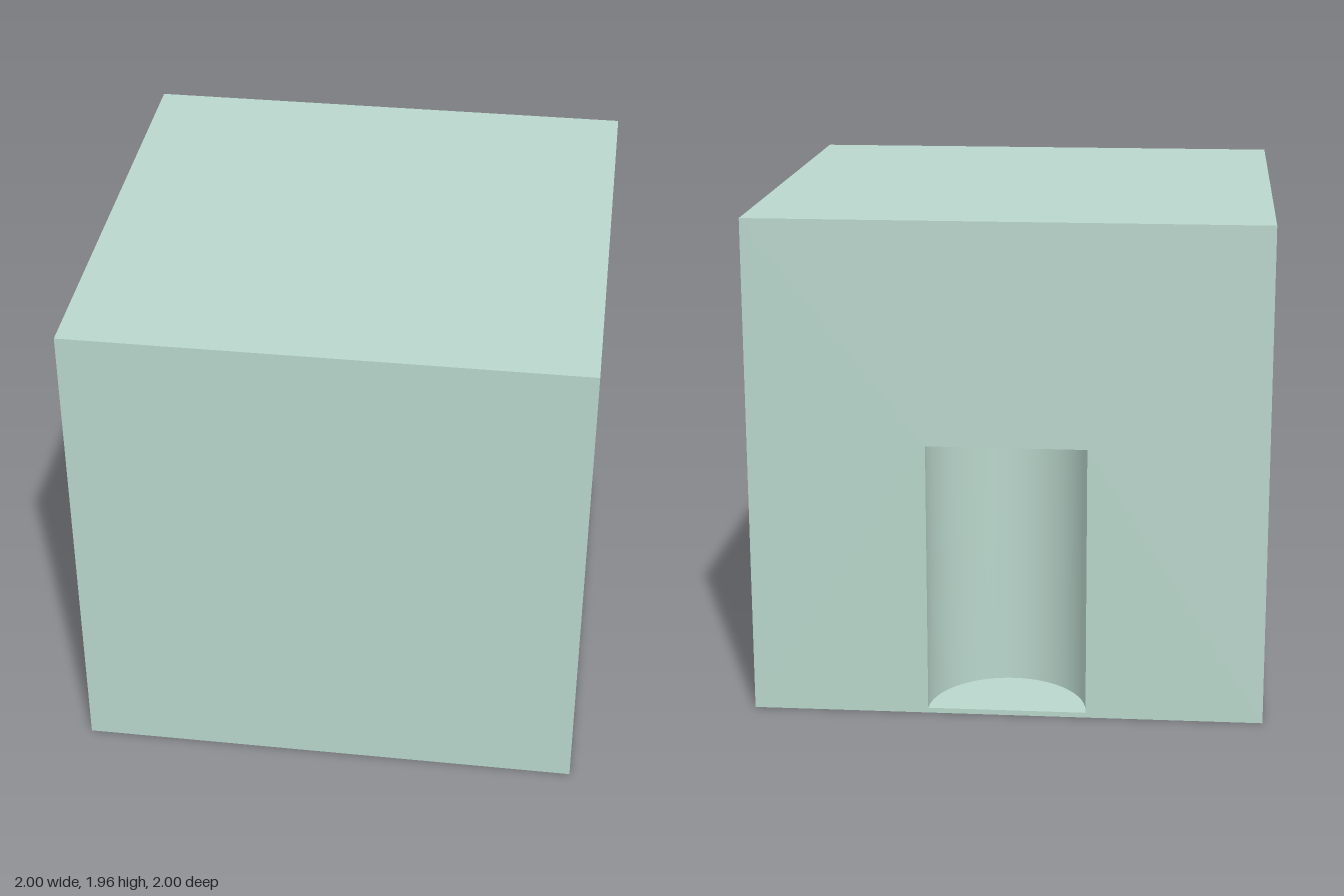
import * as THREE from 'three';

const H = 1.96;
const NICHE = { rx: 0.31, rz: 0.34, y0: 0.02, y1: 1.09 };
const PANEL = { a: 0.6, b: 0.905, y0: 0.05, y1: 1.07, depth: 0.02 };

const material = new THREE.MeshStandardMaterial({ color: 0xb9d6cb });
const thin = material.clone();
thin.side = THREE.DoubleSide;

function rect(Kind, x0, y0, x1, y1) {
  return new Kind([[x0, y0], [x1, y0], [x1, y1], [x0, y1]].map(([x, y]) => new THREE.Vector2(x, y)));
}

// A wall one unit out from the centre, turned about y, with an optional opening
function wall(name, turn, opening) {
  const shape = rect(THREE.Shape, -1, 0, 1, H);
  if (opening) shape.holes.push(rect(THREE.Path, ...opening));
  const mesh = new THREE.Mesh(new THREE.ShapeGeometry(shape).translate(0, 0, 1), material);
  mesh.name = name;
  mesh.rotation.y = turn;
  return mesh;
}

function slab(name, y, tilt) {
  const mesh = new THREE.Mesh(new THREE.PlaneGeometry(2, 2), material);
  mesh.name = name;
  mesh.position.y = y;
  mesh.rotation.x = tilt;
  return mesh;
}

// Rounded alcove: curved wall, floor and ceiling
function createNiche() {
  const { rx, rz, y0, y1 } = NICHE;
  const niche = new THREE.Group();
  niche.name = 'backNiche';
  niche.position.z = -1;
  const add = (name, geometry, y) => {
    const mesh = new THREE.Mesh(geometry.scale(rx, 1, rz), thin);
    mesh.name = name;
    mesh.position.y = y;
    niche.add(mesh);
  };
  add('nicheWall', new THREE.CylinderGeometry(1, 1, y1 - y0, 48, 1, true, -Math.PI / 2, Math.PI), (y0 + y1) / 2);
  add('nicheFloor', new THREE.CircleGeometry(1, 48, Math.PI, Math.PI).rotateX(-Math.PI / 2), y0);
  add('nicheCeiling', new THREE.CircleGeometry(1, 48, 0, Math.PI).rotateX(Math.PI / 2), y1);
  return niche;
}

// Shallow wedge recess in the side wall, deepest at its front edge
function createRecess() {
  const { a, b, y0, y1, depth } = PANEL;
  const points = [];
  for (const y of [y0, y1]) points.push(a, y, 1, b, y, 1 - depth, b, y, 1);
  const indexed = new THREE.BufferGeometry();
  indexed.setAttribute('position', new THREE.Float32BufferAttribute(points, 3));
  indexed.setIndex([0, 1, 4, 0, 4, 3, 1, 2, 5, 1, 5, 4, 0, 2, 1, 3, 4, 5]);
  const geometry = indexed.toNonIndexed();
  geometry.computeVertexNormals();
  const mesh = new THREE.Mesh(geometry, thin);
  mesh.name = 'sideRecess';
  mesh.rotation.y = -Math.PI / 2;
  return mesh;
}

export function createModel() {
  const group = new THREE.Group();
  group.name = 'block';
  group.add(
    wall('frontWall', 0),
    wall('leftWall', Math.PI / 2),
    wall('backWall', Math.PI, [-NICHE.rx, NICHE.y0, NICHE.rx, NICHE.y1]),
    wall('rightWall', -Math.PI / 2, [PANEL.a, PANEL.y0, PANEL.b, PANEL.y1]),
    slab('top', H, -Math.PI / 2),
    slab('base', 0, Math.PI / 2),
    createNiche(),
    createRecess()
  );
  return group;
}
